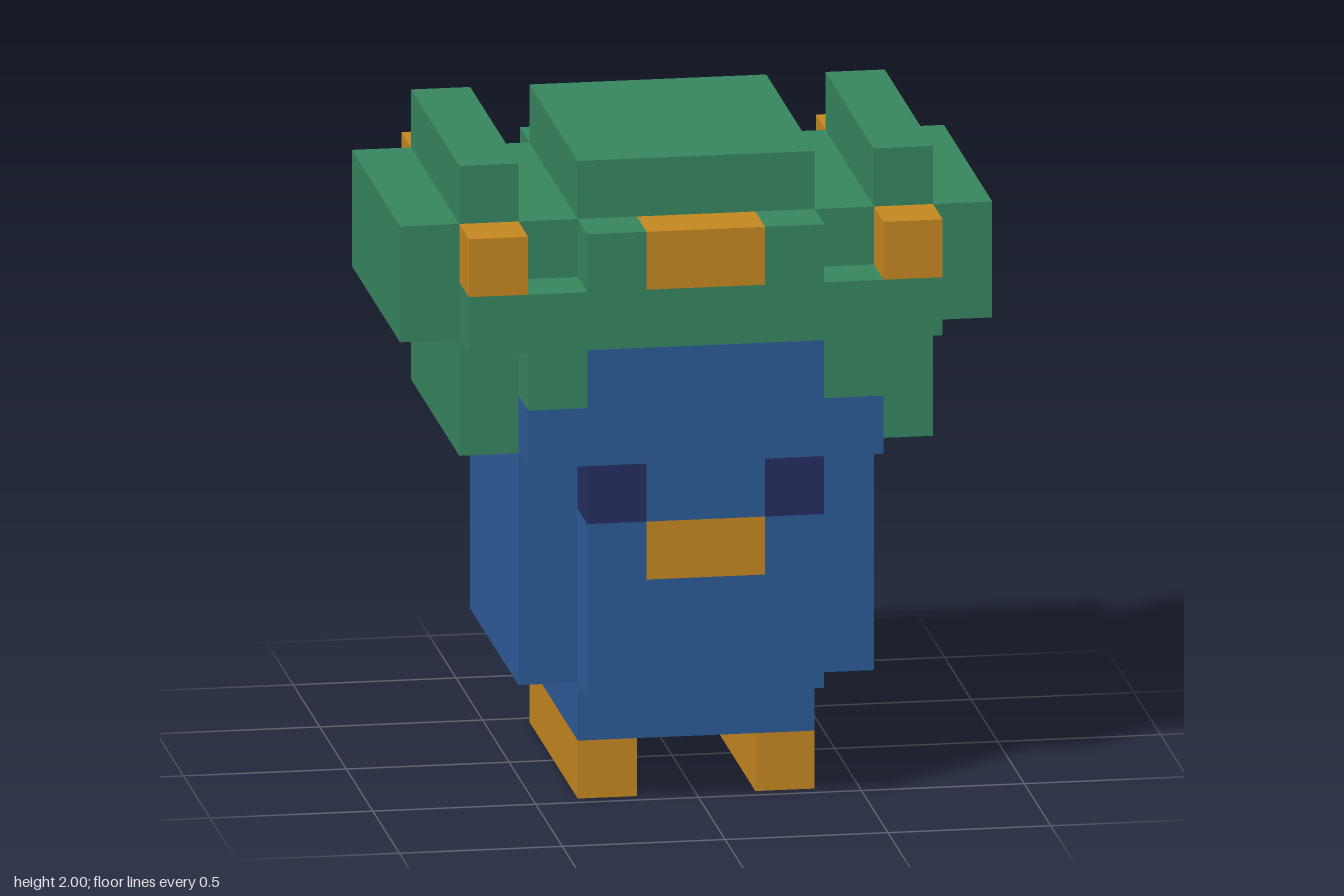
import * as THREE from 'three';

const U = 2 / 11; // one block

const material = (name, color) => {
  const m = new THREE.MeshStandardMaterial({ color });
  m.name = name;
  return m;
};

export function createModel() {
  const green = material('green', 0x37855f);
  const blue = material('blue', 0x2d5b98);
  const orange = material('orange', 0xc58821);
  const navy = material('navy', 0x252d5e);
  const model = new THREE.Group();
  model.name = 'blockBird';

  // Box given by its limits, in blocks
  const block = (name, mat, x0, x1, y0, y1, z0 = -2.5, z1 = 2.5) => {
    const geo = new THREE.BoxGeometry((x1 - x0) * U, (y1 - y0) * U, (z1 - z0) * U);
    const mesh = new THREE.Mesh(geo, mat);
    mesh.name = name;
    mesh.position.set((x0 + x1) / 2 * U, (y0 + y1) / 2 * U, (z0 + z1) / 2 * U);
    model.add(mesh);
  };
  // Same box on the left and the right
  const pair = (name, mat, x0, x1, ...rest) => {
    block(name + 'Left', mat, x0, x1, ...rest);
    block(name + 'Right', mat, -x1, -x0, ...rest);
  };

  // Feet, body and hat core
  pair('foot', orange, 1, 2, 0, 1);
  block('belly', blue, -2, 2, 1, 2);
  block('body', blue, -3, 3, 2, 6);
  block('hatBand', green, -4, 4, 6, 8);
  block('hatBrim', green, -5, 5, 8, 10);
  block('hatCrown', green, -2, 2, 10, 11);
  pair('hatRidge', green, 3, 4, 10, 11);

  // One-block layer on the front and on the back
  for (const [side, z0, z1] of [['front', 2.5, 3.5], ['back', -3.5, -2.5]]) {
    block(side + 'Chest', blue, -2, 2, 2, 4, z0, z1);
    block(side + 'Beak', orange, -1, 1, 4, 5, z0, z1);
    pair(side + 'Cheek', blue, 1, 2, 4, 5, z0, z1);
    block(side + 'Nose', blue, -1, 1, 5, 6, z0, z1);
    pair(side + 'Eye', side === 'front' ? navy : blue, 1, 2, 5, 6, z0, z1);
    block(side + 'Brow', blue, -3, 3, 6, 7, z0, z1);
    block(side + 'Forehead', blue, -2, 2, 7, 8, z0, z1);
    pair(side + 'HatFlap', green, 2, 3, 7, 8, z0, z1);
    block(side + 'HatRim', green, -4, 4, 8, 9, z0, z1);
    block(side + 'HatBadge', orange, -1, 1, 9, 10, z0, z1);
    pair(side + 'BadgeMount', green, 1, 2, 9, 10, z0, z1);
    pair(side + 'HatStud', orange, 3, 4, 9, 10, z0, z1);
  }
  return model;
}
